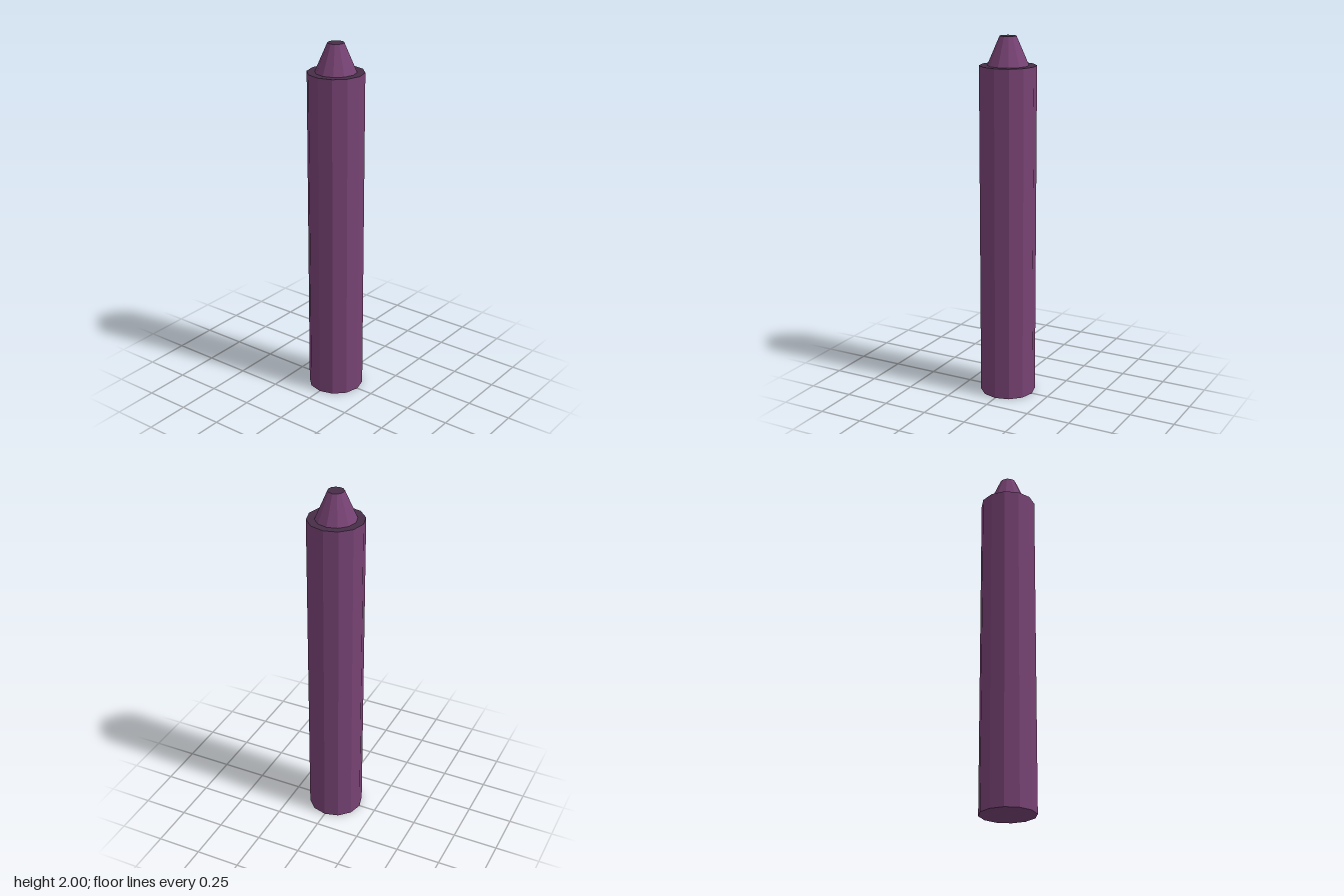
import * as THREE from 'three';

const SIDES = 12;

// Faceted solid of revolution from [radius, height] pairs, listed bottom to top
function turned(name, profile, material) {
  const points = profile.map(([r, y]) => new THREE.Vector2(r, y));
  const geometry = new THREE.LatheGeometry(points, SIDES).toNonIndexed();
  geometry.computeVertexNormals(); // one flat normal per facet
  const mesh = new THREE.Mesh(geometry, material);
  mesh.name = name;
  return mesh;
}

function flatColor(name, color) {
  const material = new THREE.MeshStandardMaterial({ color });
  material.name = name;
  return material;
}

export function createModel() {
  const wax = flatColor('purple wax', 0x764273);
  const darkWax = flatColor('dark purple wax', 0x472e48);

  const crayon = new THREE.Group();
  crayon.name = 'crayon';

  crayon.add(
    // Straight body with a flat base
    turned('body', [[0, 0], [0.1535, 0], [0.1535, 1.845]], wax),
    // Dark ring where the body steps in to the tip
    turned('shoulder', [[0.1535, 1.845], [0.1115, 1.845]], darkWax),
    // Tapered tip with a dark blunt end
    turned('tip', [[0.1115, 1.845], [0.0445, 2]], wax),
    turned('tipEnd', [[0.0445, 2], [0, 2]], darkWax),
  );

  return crayon;
}
